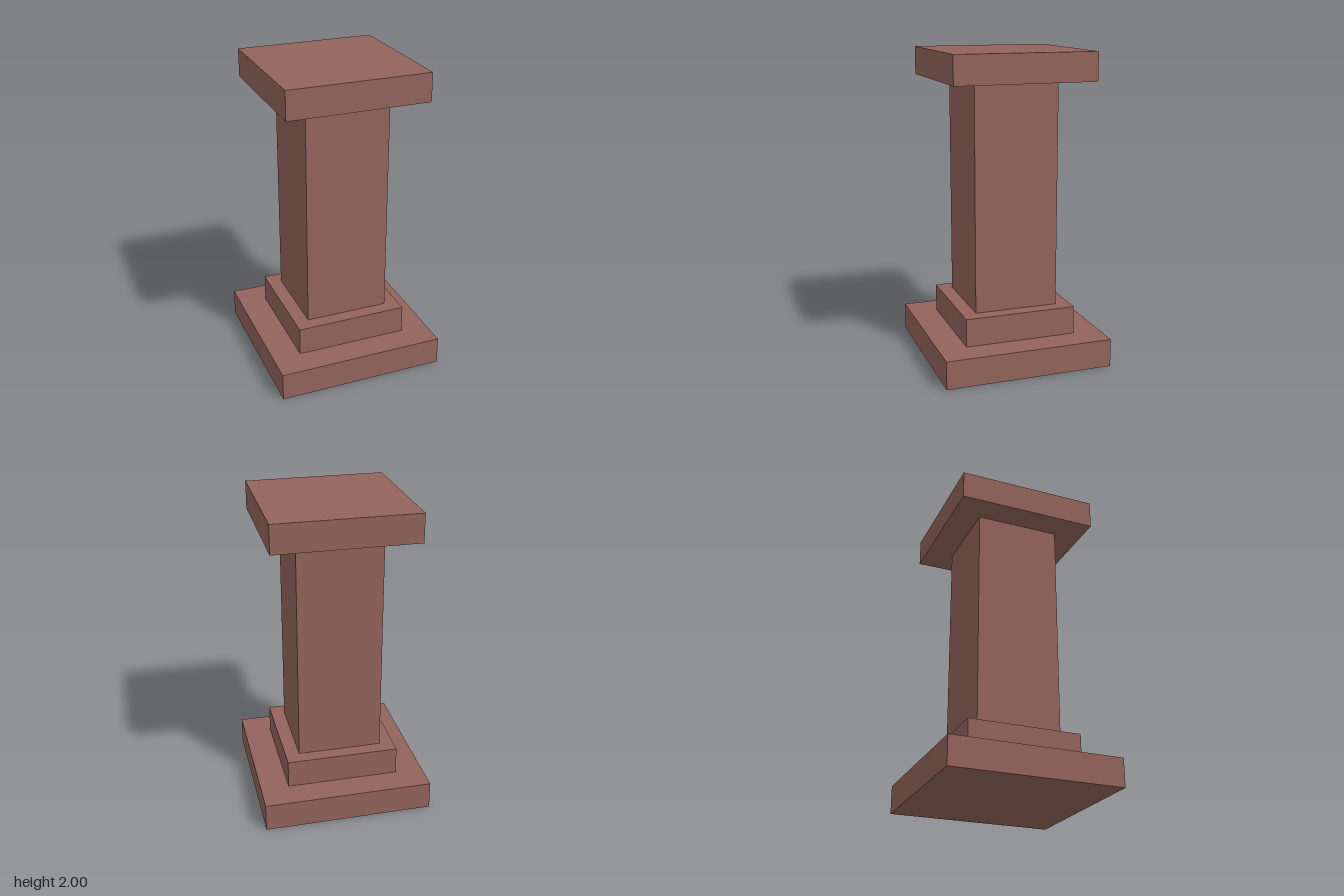
import * as THREE from 'three';

// Square pillar laid out on a module of one eleventh of its height
const U = 2 / 11;

export function createModel() {
  const pillar = new THREE.Group();
  pillar.name = 'pillar';
  const stone = new THREE.MeshStandardMaterial({ color: 0x93645b, flatShading: true });

  // Square blocks stacked from the ground up: name, width, height (in modules)
  const blocks = [
    ['base', 6, 1],
    ['plinth', 4, 1],
    ['shaft', 3, 8],
    ['capital', 5, 1],
  ];

  let y = 0;
  for (const [name, width, height] of blocks) {
    const block = new THREE.Mesh(new THREE.BoxGeometry(width * U, height * U, width * U), stone);
    block.name = name;
    block.position.y = y + (height * U) / 2;
    pillar.add(block);
    y += height * U;
  }
  return pillar;
}
